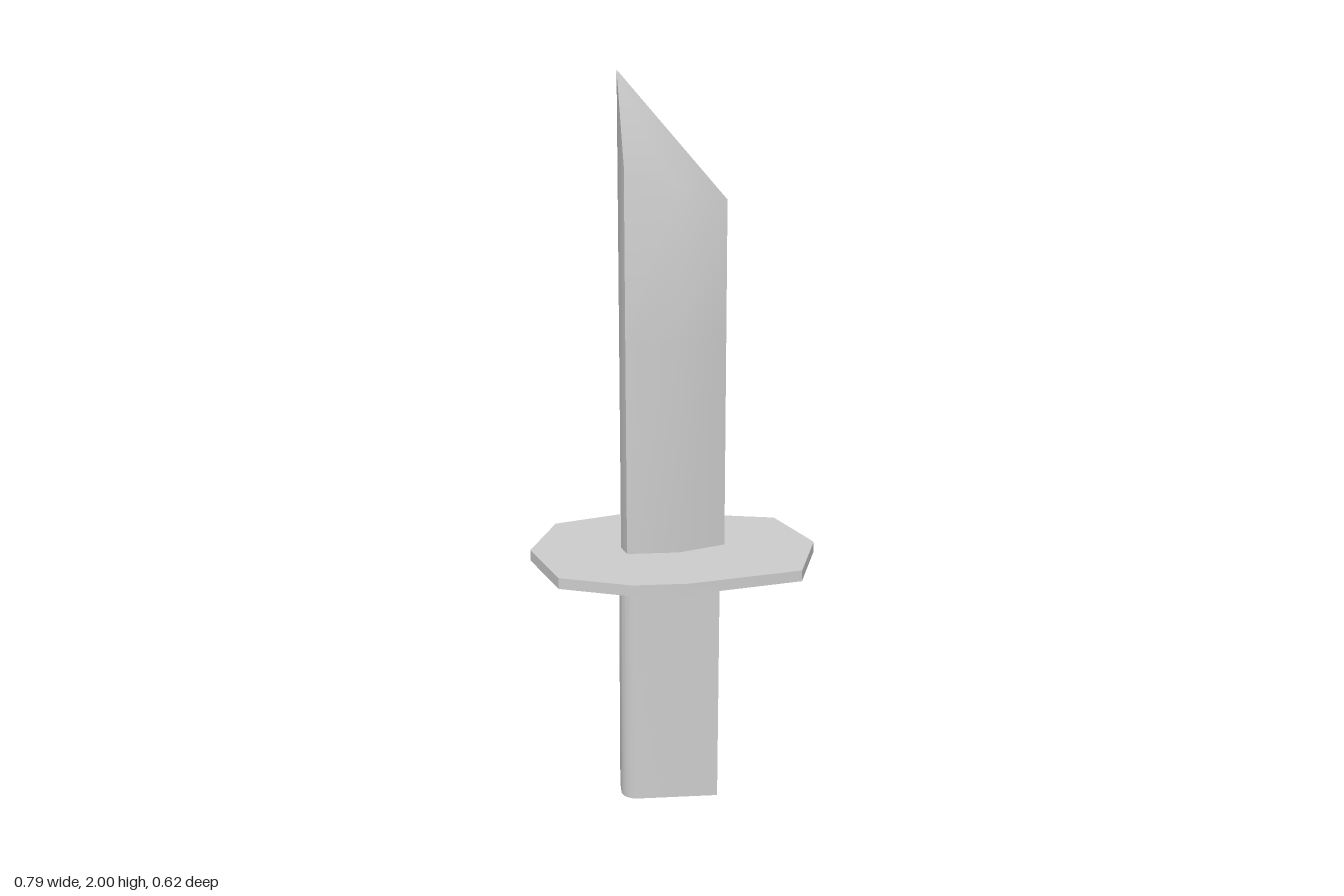
import * as THREE from 'three';
import { toCreasedNormals } from 'three/addons/utils/BufferGeometryUtils.js';

const material = new THREE.MeshStandardMaterial({ color: 0xcccccc });

function part(name, geometry) {
  const mesh = new THREE.Mesh(toCreasedNormals(geometry, 0.5), material);
  mesh.name = name;
  return mesh;
}

// Upright slab from an outline drawn in plan
function slab(shape, bottom, top) {
  const g = new THREE.ExtrudeGeometry(shape, { depth: top - bottom, bevelEnabled: false, curveSegments: 5 });
  return g.rotateX(-Math.PI / 2).translate(0, bottom, 0);
}

// Loft of closed rings, counterclockwise seen from above, with fan caps
function loft(rings) {
  const n = rings[0].length;
  const index = [];
  for (let r = 0; r < rings.length - 1; r++) {
    for (let i = 0; i < n; i++) {
      const a = r * n + i, b = r * n + (i + 1) % n;
      index.push(a, b, b + n, a, b + n, a + n);
    }
  }
  const top = (rings.length - 1) * n;
  for (let i = 1; i < n - 1; i++) {
    index.push(top, top + i, top + i + 1);
    index.push(0, i + 1, i);
  }
  const g = new THREE.BufferGeometry();
  g.setAttribute('position', new THREE.Float32BufferAttribute(rings.flat(2), 3));
  g.setIndex(index);
  return g;
}

// Blade section: spine, back corner, middle ridge, cutting edge, then mirrored
function bladeRing([spine, back, mid, edge], midZ) {
  return [
    [-0.145, spine, 0], [-0.132, back, 0.058], [0.01, mid, midZ],
    [0.143, edge, 0], [0.01, mid, -midZ], [-0.132, back, -0.058],
  ];
}

export function createModel() {
  const model = new THREE.Group();
  model.name = 'knife';

  // Grip: flat on the edge side, rounded on the spine side, leaning slightly
  const x0 = -0.153, x1 = 0.117, s0 = -0.09, s1 = 0.056, r = 0.045;
  const grip = new THREE.Shape();
  grip.moveTo(x1, s0);
  grip.lineTo(x1, s1);
  grip.lineTo(x0 + r, s1);
  grip.absarc(x0 + r, s1 - r, r, Math.PI / 2, Math.PI, false);
  grip.lineTo(x0, s0 + r);
  grip.absarc(x0 + r, s0 + r, r, Math.PI, Math.PI * 1.5, false);
  grip.closePath();
  const gripGeometry = slab(grip, 0, 0.7);
  const p = gripGeometry.attributes.position;
  for (let i = 0; i < p.count; i++) {
    if (p.getY(i) > 0.3) p.setXYZ(i, p.getX(i) + 0.003, p.getY(i), p.getZ(i) - 0.004);
  }
  model.add(part('grip', gripGeometry));

  // Guard plate
  const half = [[0.395, 0], [0.32, 0.235], [0.012, 0.309], [-0.133, 0.309], [-0.322, 0.235], [-0.395, 0]];
  const outline = [...half, ...half.slice(1, -1).reverse().map(([x, z]) => [x, -z])];
  const guard = new THREE.Shape(outline.map(([x, z]) => new THREE.Vector2(x, z)));
  model.add(part('guard', slab(guard, 0.69, 0.72)));

  // Blade with a slanted, faceted point
  model.add(part('blade', loft([
    bladeRing([0.71, 0.71, 0.71, 0.71], 0.058),
    bladeRing([1.31, 1.31, 1.31, 1.31], 0.058),
    bladeRing([2, 1.76, 1.7, 1.67], 0.044),
  ])));

  return model;
}
